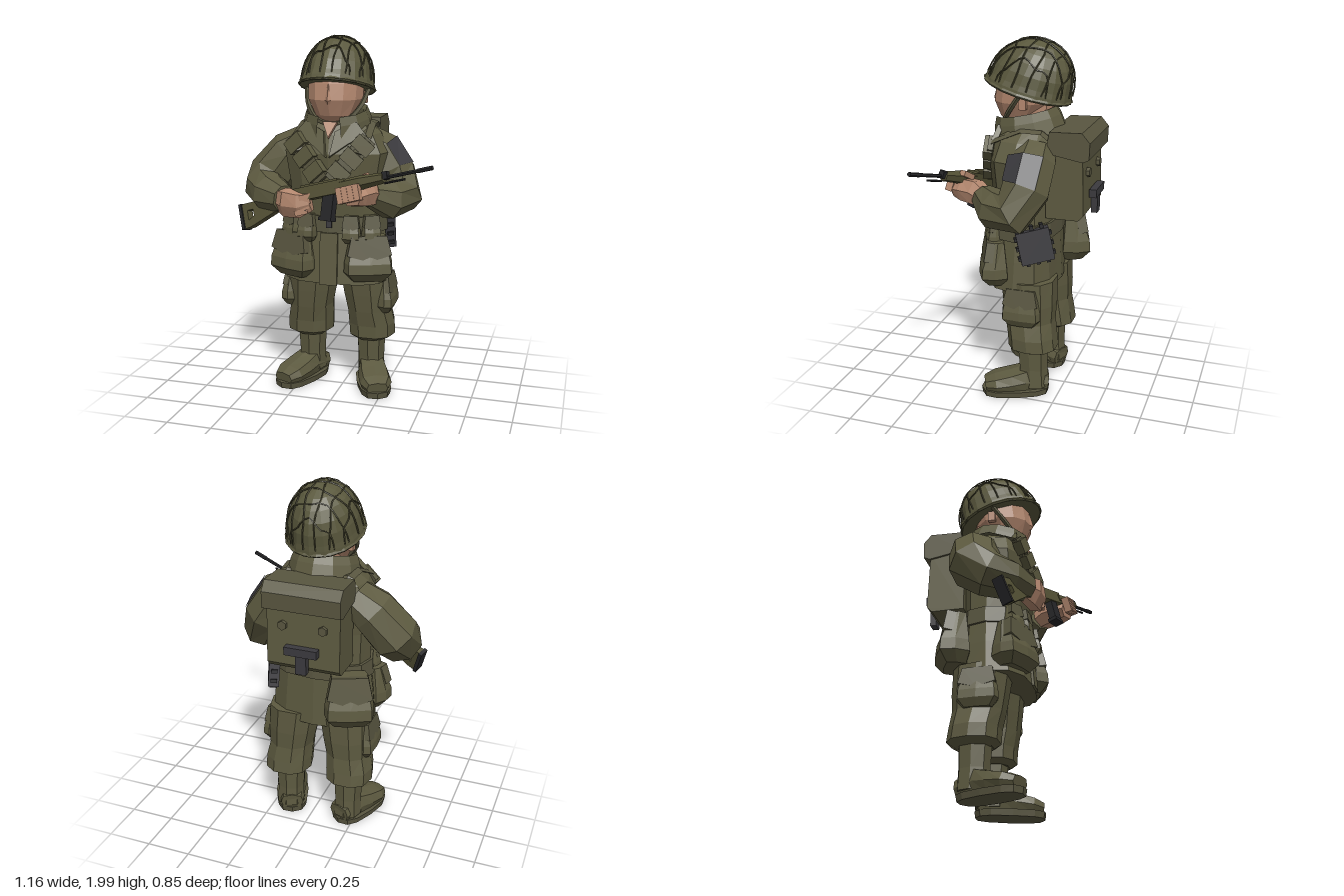
import * as THREE from 'three';

const mat = (name, color) => {
  const m = new THREE.MeshStandardMaterial({ color });
  m.name = name;
  return m;
};
const OLIVE = mat('uniform olive', 0x5d5a40), WEB = mat('webbing olive', 0x595640);
const HELMET = mat('helmet olive', 0x5a583d), NET = mat('net dark olive', 0x46442e);
const SKIN = mat('skin', 0xb4886f), GREY = mat('dark grey', 0x3b3a3e);
const BLACK = mat('gun black', 0x262628), GUN = mat('gun olive', 0x555236);

// Adds a faceted mesh
function add(parent, name, geo, material, pos = [0, 0, 0], rot = [0, 0, 0]) {
  const g = geo.index ? geo.toNonIndexed() : geo;
  g.computeVertexNormals();
  const m = new THREE.Mesh(g, material);
  m.name = name;
  m.position.set(...pos);
  m.rotation.set(...rot);
  parent.add(m);
  return m;
}
const box = (w, h, d) => new THREE.BoxGeometry(w, h, d);
const group = (parent, name, pos = [0, 0, 0], rot = [0, 0, 0]) => {
  const g = new THREE.Group();
  g.name = name;
  g.position.set(...pos);
  g.rotation.set(...rot);
  parent.add(g);
  return g;
};

// Skins rings [x, y, z, a, b] along a path; flat keeps the rings level (list them bottom to top)
function loft(st, { n = 10, e = 2, flat = false, rows, arc, grow = 0 } = {}) {
  const c = st.map(s => new THREE.Vector3(s[0], s[1], s[2]));
  const u = new THREE.Vector3(1, flat ? 0 : .01, 0);
  const rings = st.map((s, i) => {
    const t = flat ? new THREE.Vector3(0, 1, 0)
      : c[Math.min(i + 1, c.length - 1)].clone().sub(c[Math.max(i - 1, 0)]).normalize();
    u.addScaledVector(t, -u.dot(t)).normalize();
    const v = t.clone().cross(u);
    return Array.from({ length: n }, (_, j) => {
      const a = j / n * Math.PI * 2;
      const f = w => Math.sign(w) * Math.pow(Math.abs(w) < 1e-6 ? 0 : Math.abs(w), 2 / e);
      return c[i].clone().addScaledVector(u, f(Math.cos(a)) * (s[3] + grow))
        .addScaledVector(v, f(Math.sin(a)) * (s[4] + grow));
    });
  });
  const p = [], tri = (...vs) => vs.forEach(w => p.push(w.x, w.y, w.z));
  const [r0, r1] = rows || [0, st.length - 1], [j0, j1] = arc || [0, n];
  for (let i = r0; i < r1; i++) for (let j = j0; j < j1; j++) {
    const k = (j + n) % n, l = (k + 1) % n, A = rings[i], B = rings[i + 1];
    tri(A[k], A[l], B[l]);
    tri(A[k], B[l], B[k]);
  }
  if (!arc) for (let j = 0; j < n; j++) {
    const l = (j + 1) % n, A = rings[0], B = rings[st.length - 1];
    tri(c[0], A[l], A[j]);
    tri(c[st.length - 1], B[j], B[l]);
  }
  const g = new THREE.BufferGeometry();
  g.setAttribute('position', new THREE.Float32BufferAttribute(p, 3));
  return g;
}
const tube = (pts, r, seg = 12) => new THREE.TubeGeometry(
  new THREE.CatmullRomCurve3(pts.map(p => new THREE.Vector3(...p))), seg, r, 4);
const slab = (pts, depth, hole) => {
  const s = new THREE.Shape(pts.map(p => new THREE.Vector2(...p)));
  if (hole) s.holes.push(new THREE.Path(hole.map(p => new THREE.Vector2(...p))));
  return new THREE.ExtrudeGeometry(s, { depth, bevelEnabled: false }).translate(0, 0, -depth / 2);
};

// Puffy pouch, fullest low down, with a flap over its front (+z)
function pouch(parent, name, w, h, d, pos, ry = 0) {
  const g = group(parent, name, pos, [0, ry, 0]);
  add(g, name + 'Body', loft([[0, -h / 2, -d * .08, w * .34, d * .32], [0, -h * .3, 0, w * .5, d * .5],
    [0, -h * .08, 0, w * .49, d * .47], [0, h / 2, -d * .12, w * .37, d * .24]], { n: 8, e: 5, flat: true }), OLIVE);
  add(g, name + 'Flap', slab([[-w * .36, h * .5], [-w * .45, h * .08], [0, -h * .06], [w * .45, h * .08], [w * .36, h * .5]], d * .3),
    WEB, [0, .004, d * .24], [-.18, 0, 0]);
}

function buildHead(body) {
  const head = group(body, 'head');
  add(head, 'neck', loft([[0, 1.44, -.045, .085, .1], [0, 1.7, -.06, .1, .115]], { n: 8, flat: true }), SKIN);
  add(head, 'face', loft([[0, 1.535, .05, .06, .055], [0, 1.57, .03, .108, .105], [0, 1.655, .01, .15, .16],
    [0, 1.74, 0, .154, .158], [0, 1.82, -.01, .14, .15]], { n: 12, e: 2.1, flat: true }), SKIN);
  add(head, 'nose', loft([[0, 1.635, .15, .02, .018], [0, 1.655, .16, .024, .022], [0, 1.74, .145, .012, .015]], { n: 4, flat: true }), SKIN);
  for (const s of [-1, 1]) add(head, 'ear', box(.025, .06, .04), SKIN, [s * .15, 1.66, -.03]);
  add(head, 'chinStrap', tube([[-.175, 1.71, -.02], [-.147, 1.62, .045], [-.085, 1.55, .095], [0, 1.527, .115],
    [.085, 1.55, .095], [.147, 1.62, .045], [.175, 1.71, -.02]], .013, 18), WEB);

  // Helmet dome and its net share one surface rule
  const helmet = group(head, 'helmet', [0, 1.722, -.015], [-.27, 0, 0]);
  const R = .196, Z = .236, H = .268;
  const height = q => H * Math.pow(Math.max(0, 1 - Math.pow(q, 2.1)), 1 / 2.1);
  const lean = y => -.02 * y / H;
  const rings = [[0, -.015, 0, R * 1.05, Z * 1.05], [0, .015, 0, R * 1.03, Z * 1.03]];
  for (const q of [.99, .94, .83, .66, .42, .18]) rings.push([0, height(q), lean(height(q)), R * q, Z * q]);
  add(helmet, 'helmetShell', loft(rings, { n: 16, flat: true }), HELMET);
  for (const c of [-.8, -.5, -.17, .17, .5, .8]) for (const along of [true, false]) {
    const lim = Math.sqrt(1 - c * c), pts = [];
    for (let i = 0; i <= 10; i++) {
      const d = lim * Math.sin((i / 5 - 1) * Math.PI / 2) * .998;
      const wob = c + .05 * Math.sin(i * 1.7 + c * 9) * Math.sin(i / 10 * Math.PI);
      const x = along ? wob : d, z = along ? d : wob, y = height(Math.hypot(x, z));
      pts.push([x * R * 1.01, y * 1.005 + .002, z * Z * 1.01 + lean(y)]);
    }
    add(helmet, 'netCord', tube(pts, .0045, 16), NET);
  }
  const rim = add(helmet, 'helmetRim', new THREE.TorusGeometry(1, .035, 4, 18), HELMET, [0, -.008, 0], [Math.PI / 2, 0, 0]);
  rim.scale.set(R * 1.04, Z * 1.03, .3);
}

function buildTorso(body) {
  add(body, 'jacket', loft([[0, .65, -.02, .3, .195], [0, .82, -.025, .285, .18], [0, 1, -.03, .265, .165], [0, 1.2, -.02, .27, .18],
    [0, 1.37, -.02, .3, .19], [0, 1.47, -.03, .245, .17], [0, 1.54, -.045, .16, .135]], { n: 12, e: 2.5, flat: true }), OLIVE);
  const collar = new THREE.LatheGeometry([[.14, .03], [.205, 0], [.185, .1], [.168, .145], [.148, .125], [.13, .03]]
    .map(p => new THREE.Vector2(...p)), 10, .35, Math.PI * 2 - .7);
  add(body, 'collar', collar, OLIVE, [0, 1.455, -.035], [.2, 0, 0]);
  add(body, 'throat', slab([[-.04, .04], [0, -.05], [.04, .04]], .02), SKIN, [0, 1.5, .142], [-.45, 0, 0]);
  add(body, 'belt', loft([[0, .935, -.03, .285, .182], [0, 1.025, -.03, .28, .18]], { n: 12, e: 2.5, flat: true }), WEB);
  add(body, 'buckle', box(.03, .04, .01), GREY, [0, .985, .155]);
  add(body, 'frontPlacket', box(.1, .29, .014), OLIVE, [0, .79, .165], [-.08, 0, 0]);
  for (const s of [-1, 1]) {
    // Lapel, harness and chest pouches
    const lapel = [[.01, -.1], [.03, .04], [.14, .1], [.2, .03], [.11, -.02]].map(p => [p[0] * s, p[1]]);
    add(body, 'lapel', slab(lapel, .03), OLIVE, [0, 1.45, .15], [-.35, s * .15, 0]);
    const harness = group(body, 'chestHarness', [s * .12, 1.345, .16], [-.1, s * .25, -s * .7]);
    add(harness, 'chestStrap', box(.09, .3, .03), WEB);
    for (const y of [-.09, .01, .1]) add(harness, 'chestPouch', box(.11, .075, .05), OLIVE, [0, y, .012]);
    add(body, 'shoulderStrap', loft([[s * .15, 1.45, -.22, .035, .012], [s * .17, 1.52, -.14, .035, .012],
      [s * .18, 1.525, -.03, .035, .012], [s * .19, 1.46, .12, .035, .012], [s * .17, 1.38, .17, .035, .012]], { n: 4 }), WEB);
    // Belt pouches and large hip pockets
    pouch(body, 'beltPouchInner', .105, .15, .09, [s * .125, .96, .15], s * .1);
    pouch(body, 'beltPouchOuter', .105, .15, .09, [s * .225, .96, .11], s * .55);
    pouch(body, 'hipPocket', .27, .25, .16, [s * .212, .8, .118], s * .4);
  }
  pouch(body, 'rearPouch', .27, .29, .18, [-.215, .855, -.225], Math.PI + .4);
}

function buildLegs(body) {
  for (const s of [-1, 1]) {
    add(body, 'trouserLeg', loft([[s * .18, .275, -.105, .09, .1], [s * .185, .3, -.107, .132, .138], [s * .183, .37, -.1, .134, .135],
      [s * .172, .46, -.085, .125, .138], [s * .163, .56, -.08, .137, .148], [s * .15, .7, -.07, .147, .155]], { n: 10, e: 2.4, flat: true }), OLIVE);
    pouch(body, 'cargoPocket', .22, .21, .09, [s * .285, .56, -.065], s * Math.PI / 2);
    add(body, 'bootShaft', loft([[s * .178, .05, -.11, .08, .085], [s * .178, .16, -.105, .077, .083], [s * .178, .31, -.1, .085, .09]],
      { n: 8, e: 2.4, flat: true }), OLIVE);
    const foot = group(body, 'boot', [s * .178, 0, -.1], [0, s * .38, 0]);
    add(foot, 'bootUpper', loft([[0, .07, -.085, .065, .05], [0, .085, .04, .08, .078], [0, .075, .12, .09, .062],
      [0, .065, .21, .09, .05], [0, .055, .27, .06, .035]], { n: 8, e: 3 }), OLIVE);
    add(foot, 'bootSole', loft([[0, 0, .098, .09, .188], [0, .035, .098, .096, .193]], { n: 12, e: 2.8, flat: true }), WEB);
  }
}

function buildPack(body) {
  const pack = group(body, 'backpack', [-.012, 0, 0]);
  const side = (pts, w) => slab(pts, w).rotateY(Math.PI / 2);
  add(pack, 'packBody', side([[.17, 1.06], [.35, 1.06], [.378, 1.09], [.368, 1.42], [.17, 1.45]], .4), OLIVE);
  add(pack, 'packFlap', side([[.17, 1.42], [.37, 1.385], [.405, 1.4], [.408, 1.49], [.365, 1.54], [.19, 1.535]], .424), WEB);
  for (const s of [-1, 1])
    add(pack, 'packStud', new THREE.CylinderGeometry(.026, .026, .024, 6), WEB, [s * .11, 1.31, -.378], [Math.PI / 2, 0, 0]);
  add(pack, 'toolHandle', box(.18, .045, .04), GREY, [0, 1.185, -.4]);
  add(pack, 'toolStem', box(.06, .12, .035), GREY, [0, 1.12, -.395]);
}

function buildArms(root) {
  const right = [[-.23, 1.4, -.085, .1, .12], [-.33, 1.335, -.09, .128, .14], [-.435, 1.205, -.06, .138, .14],
    [-.445, 1.14, .02, .125, .125], [-.385, 1.125, .115, .108, .108], [-.28, 1.12, .19, .07, .075]];
  const left = [[.12, 1.41, -.095, .1, .12], [.185, 1.365, -.1, .125, .135], [.265, 1.24, -.095, .13, .135],
    [.32, 1.13, -.04, .115, .125], [.275, 1.125, .075, .105, .11], [.2, 1.165, .165, .07, .07]];
  add(root, 'rightSleeve', loft(right, { n: 8 }), OLIVE);
  add(root, 'leftSleeve', loft(left, { n: 8 }), OLIVE);
  add(root, 'sleevePatch', loft(left, { n: 8, rows: [1, 2], arc: [-1, 1], grow: .006 }), GREY);
  // Hands with curled fingers
  add(root, 'rightHand', loft([[-.325, 1.115, .165, .045, .06], [-.255, 1.105, .215, .055, .082], [-.18, 1.1, .225, .05, .075], [-.115, 1.115, .225, .03, .05]],
    { n: 6, e: 2.6 }), SKIN);
  add(root, 'leftHand', loft([[.22, 1.16, .15, .05, .055], [.19, 1.18, .21, .062, .07], [.16, 1.18, .28, .07, .065], [.14, 1.175, .335, .06, .045]],
    { n: 6, e: 2.6 }), SKIN);
  for (let i = 0; i < 4; i++) {
    add(root, 'rightFinger', box(.07, .027, .04), SKIN, [-.14 - i * .008, 1.15 - i * .029, .24], [0, .2, .25]);
    add(root, 'leftFinger', box(.031, .085, .04), SKIN, [.085 + i * .031, 1.185 + i * .009, .345 + i * .004], [-.2, -.15, .25]);
  }
  add(root, 'leftThumb', box(.09, .03, .035), SKIN, [.175, 1.265, .265], [0, -.3, .5]);
}

function buildRifle(root) {
  const rifle = group(root, 'rifle', [0, 1.2, .255]);
  const x = new THREE.Vector3(1, .29, .282).normalize();
  const z = x.clone().cross(new THREE.Vector3(0, 1, -.25)).normalize();
  rifle.quaternion.setFromRotationMatrix(new THREE.Matrix4().makeBasis(x, z.clone().cross(x), z));
  add(rifle, 'stock', slab([[-.6, .01], [-.585, -.13], [-.54, -.125], [-.3, -.045], [-.26, -.035], [-.26, .03], [-.34, .02]], .045,
    [[-.555, -.03], [-.515, -.028], [-.51, -.065], [-.55, -.085]]), GUN);
  add(rifle, 'buttPlate', box(.02, .145, .06), BLACK, [-.595, -.06, 0], [0, 0, .1]);
  add(rifle, 'receiver', box(.38, .07, .055), GUN, [-.08, 0, 0]);
  add(rifle, 'topCover', box(.24, .014, .03), GUN, [-.06, .04, 0]);
  add(rifle, 'handguard', loft([[.08, 0, 0, .036, .036], [.2, 0, 0, .038, .038], [.34, 0, 0, .028, .028]], { n: 6 }), GUN);
  add(rifle, 'grip', box(.04, .07, .035), BLACK, [-.17, -.055, 0], [0, 0, -.25]);
  add(rifle, 'magazine', box(.07, .15, .04), BLACK, [-.015, -.09, 0], [0, 0, -.25]);
  add(rifle, 'magazineBase', box(.08, .02, .05), BLACK, [-.035, -.155, 0], [0, 0, -.25]);
  add(rifle, 'frontSight', box(.03, .04, .03), BLACK, [.35, .01, 0]);
  const rod = (r, l) => new THREE.CylinderGeometry(r, r, l, 6).rotateZ(-Math.PI / 2);
  add(rifle, 'barrel', rod(.01, .3), BLACK, [.46, 0, 0]);
  add(rifle, 'muzzle', rod(.012, .08), BLACK, [.58, 0, 0]);
  add(rifle, 'cleaningRod', rod(.006, .12), BLACK, [.4, -.028, 0]);
}

// Dark case with tabs, on the left hip
function buildCase(root) {
  const g = group(root, 'hipCase', [.225, .925, -.135], [.22, .42, 0]);
  add(g, 'caseBody', box(.06, .18, .18), GREY);
  for (const t of [-.055, 0, .055]) {
    add(g, 'caseTabUpright', box(.04, .215, .02), BLACK, [0, .005, t]);
    add(g, 'caseTabLevel', box(.035, .02, .205), BLACK, [0, t, 0]);
  }
}

export function createModel() {
  const root = new THREE.Group();
  root.name = 'soldier';
  const body = group(root, 'body', [-.035, 0, 0]);
  for (const build of [buildHead, buildTorso, buildLegs, buildPack]) build(body);
  for (const build of [buildArms, buildRifle, buildCase]) build(root);
  return root;
}
